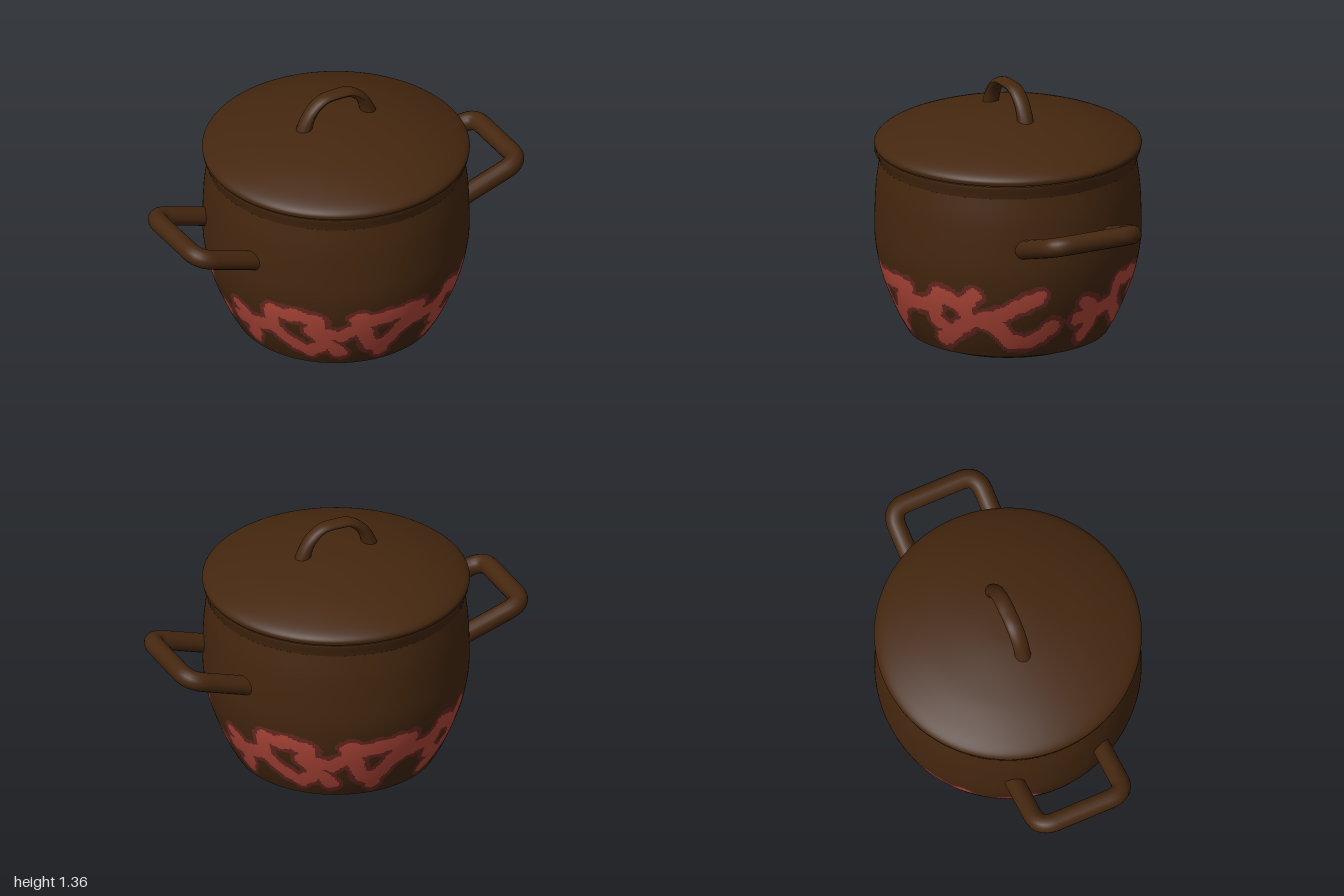
import * as THREE from 'three';

const paint = (name, color) => Object.assign(new THREE.MeshStandardMaterial({ color }), { name });
const V2 = (p) => new THREE.Vector2(p[0], p[1]);

// Painted floral strokes as [degrees around the pot, height]; they repeat every half turn
const STROKES = [
  [[-20, .38], [-14, .36], [-2, .37], [10, .38], [2, .27], [-4, .17], [-12, .17], [-17, .28], [-20, .38]],
  [[-8, .17], [-6, .11]],
  [[2, .27], [12, .3], [24, .31]],
  [[30, .39], [40, .33], [46, .4]],
  [[40, .33], [44, .25], [34, .17], [24, .23], [26, .33], [30, .39]],
  [[34, .17], [26, .11]],
  [[44, .25], [56, .28], [66, .34], [75, .39]],
  [[50, .25], [58, .21], [62, .13], [70, .12], [78, .15], [84, .21]],
  [[97, .235], [107, .26], [118, .27]],
  [[100, .32], [107, .26], [106, .18], [103, .12]],
  [[120, .39], [134, .39], [142, .36], [139, .29], [146, .2], [136, .13], [128, .18], [119, .27], [120, .39]],
  [[139, .29], [152, .26], [158, .3]],
  [[146, .2], [152, .13]],
];
const DEG = 0.011; // surface length of one degree

// Distance from a point on the pot wall to the nearest stroke
function strokeDistance(deg, y) {
  let best = 1;
  for (const s of STROKES) {
    for (let i = 0; i + 1 < s.length; i++) {
      for (const shift of [-180, 0, 180]) {
        const ax = (s[i][0] + shift - deg) * DEG, ay = s[i][1] - y;
        const dx = (s[i + 1][0] - s[i][0]) * DEG, dy = s[i + 1][1] - s[i][1];
        const t = THREE.MathUtils.clamp(-(ax * dx + ay * dy) / (dx * dx + dy * dy), 0, 1);
        best = Math.min(best, Math.hypot(ax + dx * t, ay + dy * t));
      }
    }
  }
  const a = deg * Math.PI / 180;
  return best + 0.007 * Math.sin(a * 34 + y * 20) * Math.sin(y * 48);
}

// Pot wall: fine lathe whose faces are grouped by paint colour
function potWall(materials) {
  const outline = new THREE.SplineCurve([
    [.515, .03], [.56, .11], [.6, .2], [.638, .3], [.665, .4], [.683, .52], [.684, .65], [.677, .8], [.66, .93],
  ].map(V2));
  const points = outline.getSpacedPoints(104);
  const segments = 360;
  const geometry = new THREE.LatheGeometry(points, segments);
  const index = geometry.index.array;
  const rows = points.length - 1;
  const faces = [[], [], []];
  for (let i = 0; i < segments; i++) {
    for (let j = 0; j < rows; j++) {
      const y = (points[j].y + points[j + 1].y) / 2;
      const deg = ((i + .5) * 360 / segments) % 180;
      const d = y < .5 ? strokeDistance(deg, y) : 1;
      const k = (i * rows + j) * 6;
      faces[d < .041 ? 2 : d < .066 ? 1 : 0].push(...index.slice(k, k + 6));
    }
  }
  let start = 0;
  faces.forEach((f, m) => {
    geometry.addGroup(start, f.length, m);
    start += f.length;
  });
  geometry.setIndex(faces.flat());
  return new THREE.Mesh(geometry, materials);
}

export function createModel() {
  const brown = paint('brownGlaze', 0x45270f);
  const darkRed = paint('darkRedOutline', 0x6a2a23);
  const red = paint('redFlower', 0xb4483a);
  const model = new THREE.Group();
  model.name = 'lidded pot';
  const add = (name, mesh) => {
    mesh.name = name;
    model.add(mesh);
    return mesh;
  };
  const lathe = (profile) => new THREE.Mesh(new THREE.LatheGeometry(profile.map(V2), 96), brown);

  // Pot body
  add('potWall', potWall([brown, darkRed, red]));
  add('potBase', lathe([[0, 0], [.44, 0]]));
  add('baseBevel', lathe([[.44, 0], [.515, .03]]));
  add('potLip', lathe([[.66, .93], [.669, .965], [.68, .99], [.678, 1.0]]));
  add('potRim', lathe([[.678, 1.0], [.635, 1.0]]));
  add('lidNeck', lathe([[.637, .99], [.637, 1.02]]));

  // Domed lid
  add('lidUnderside', lathe([[.63, 1.008], [.683, 1.008]]));
  const dome = new THREE.SplineCurve([
    [.683, 1.008], [.685, 1.03], [.66, 1.055], [.6, 1.085], [.5, 1.122], [.4, 1.15], [.25, 1.18], [.12, 1.197], [0, 1.2],
  ].map(V2)).getPoints(40);
  add('lid', new THREE.Mesh(new THREE.LatheGeometry(dome, 96), brown));

  // Arched lid grip, thicker toward its feet
  const arch = new THREE.CatmullRomCurve3([
    [-.2, 1.12], [-.183, 1.2], [-.145, 1.275], [-.08, 1.327], [0, 1.335], [.08, 1.327], [.145, 1.275], [.183, 1.2], [.2, 1.12],
  ].map(([x, y]) => new THREE.Vector3(x, y, 0)));
  const steps = 40, sides = 16;
  const grip = new THREE.TubeGeometry(arch, steps, .042, sides);
  const pos = grip.attributes.position;
  for (let i = 0; i <= steps; i++) {
    const c = arch.getPointAt(i / steps);
    const thickness = .5 + .7 * Math.abs(2 * i / steps - 1) ** 2;
    for (let j = 0; j <= sides; j++) {
      const k = i * (sides + 1) + j;
      pos.setXY(k, c.x + (pos.getX(k) - c.x) * thickness, c.y + (pos.getY(k) - c.y) * thickness);
    }
  }
  grip.computeVertexNormals();
  add('lidGrip', new THREE.Mesh(grip, brown));

  // Side handles: rounded U-shaped tubes rising outward
  const at = (x, z) => new THREE.Vector3(x, .652 + (x - .6) * .325, z);
  for (const side of [1, -1]) {
    const path = new THREE.CurvePath();
    const line = (a, b) => path.add(new THREE.LineCurve3(a, b));
    line(at(.58, .242), at(.86, .242));
    path.add(new THREE.QuadraticBezierCurve3(at(.86, .242), at(.95, .242), at(.95, .15)));
    line(at(.95, .15), at(.95, -.15));
    path.add(new THREE.QuadraticBezierCurve3(at(.95, -.15), at(.95, -.242), at(.86, -.242)));
    line(at(.86, -.242), at(.58, -.242));
    const handle = add(side > 0 ? 'leftHandle' : 'rightHandle',
      new THREE.Mesh(new THREE.TubeGeometry(path, 80, .05, 16), brown));
    if (side < 0) handle.rotation.y = Math.PI;
  }
  return model;
}
